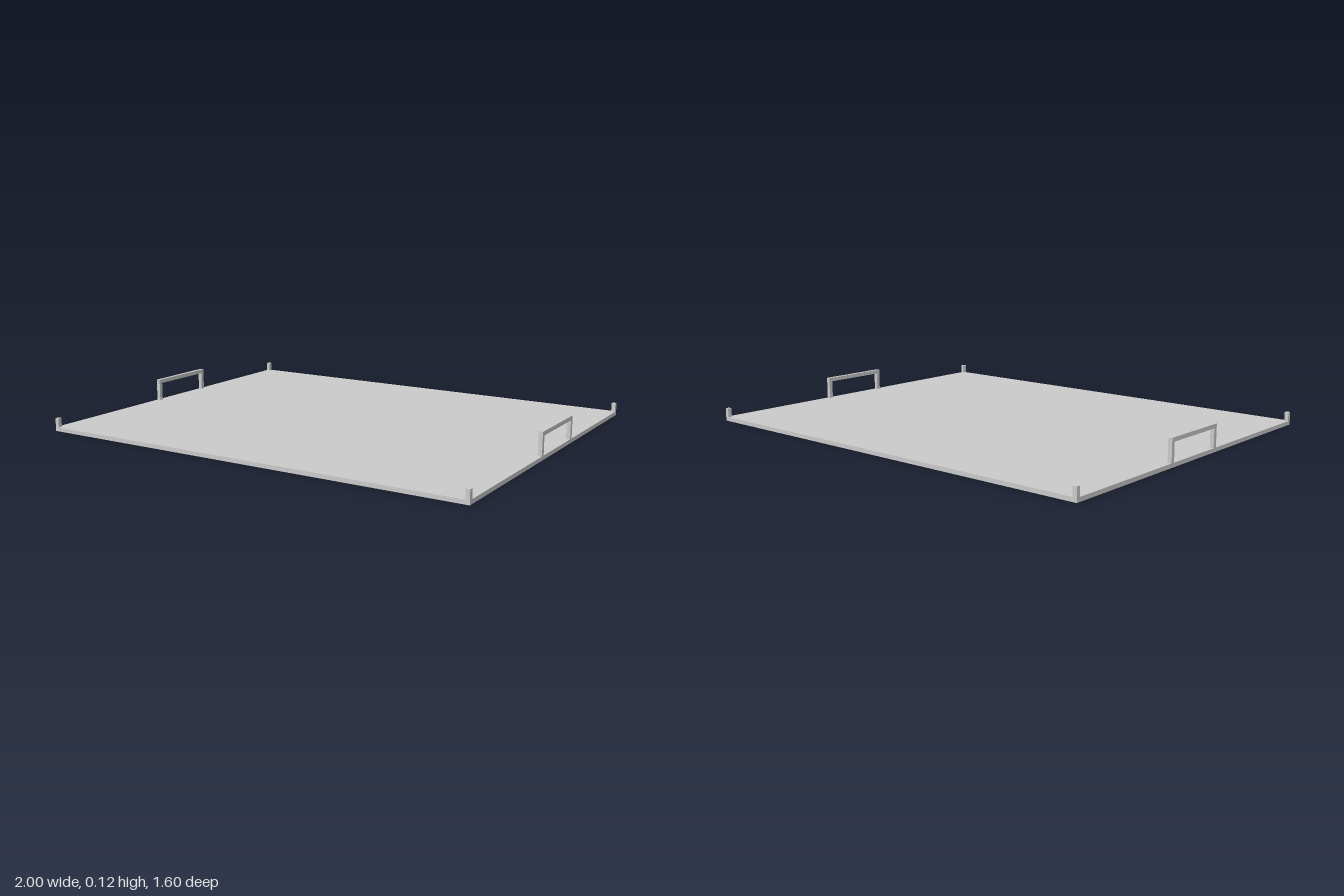
import * as THREE from 'three';

const T = 0.018;               // plate thickness and bar width
const HALF_X = 1, HALF_Z = 0.8;
const POST_TOP = 0.058, HANDLE_TOP = 0.118;
const HANDLE_BACK = -0.2, HANDLE_FRONT = 0.136;

export function createModel() {
  const model = new THREE.Group();
  const material = new THREE.MeshStandardMaterial({ color: 0xcccccc, flatShading: true });

  // Box given by its lower and upper corners
  function box(name, parent, [x0, y0, z0], [x1, y1, z1]) {
    const mesh = new THREE.Mesh(new THREE.BoxGeometry(x1 - x0, y1 - y0, z1 - z0), material);
    mesh.position.set((x0 + x1) / 2, (y0 + y1) / 2, (z0 + z1) / 2);
    mesh.name = name;
    parent.add(mesh);
  }

  // Flat tray plate
  box('trayPlate', model, [-HALF_X, 0, -HALF_Z], [HALF_X, T, HALF_Z]);

  for (const [side, x] of [['left', HALF_X - T], ['right', -HALF_X]]) {
    // Short corner posts
    for (const [end, z] of [['Front', HALF_Z - T], ['Back', -HALF_Z]]) {
      box(`${side}${end}Post`, model, [x, T, z], [x + T, POST_TOP, z + T]);
    }

    // Handle: two uprights and a grip bar, set slightly towards the back
    const handle = new THREE.Group();
    handle.name = `${side}Handle`;
    const barY = HANDLE_TOP - T;
    box('frontUpright', handle, [x, T, HANDLE_FRONT - T], [x + T, barY, HANDLE_FRONT]);
    box('backUpright', handle, [x, T, HANDLE_BACK], [x + T, barY, HANDLE_BACK + T]);
    box('gripBar', handle, [x, barY, HANDLE_BACK], [x + T, HANDLE_TOP, HANDLE_FRONT]);
    model.add(handle);
  }
  return model;
}
